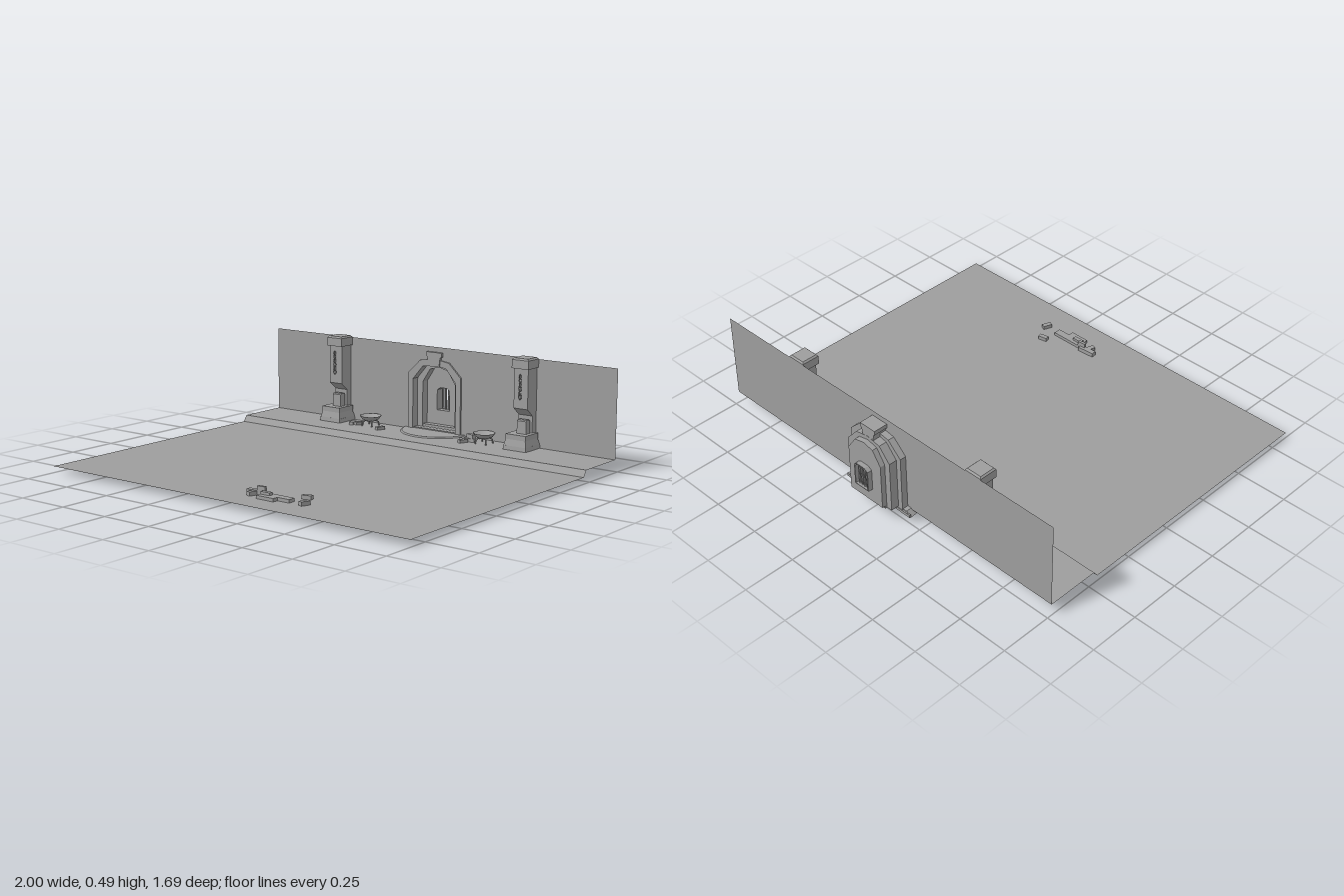
import * as THREE from 'three';

const stone = new THREE.MeshStandardMaterial({ color: 0x9d9d9d, flatShading: true, side: THREE.DoubleSide });
const metal = new THREE.MeshStandardMaterial({ color: 0x9d9d9d, side: THREE.DoubleSide });

function add(parent, name, geo, x = 0, y = 0, z = 0, ry = 0, mat = stone) {
  const m = new THREE.Mesh(geo, mat);
  m.name = name;
  m.position.set(x, y, z);
  m.rotation.y = ry;
  parent.add(m);
  return m;
}
const box = (w, h, d) => new THREE.BoxGeometry(w, h, d);

// square frustum, given its half widths at the top and bottom
function frustum(top, bottom, h) {
  const g = new THREE.CylinderGeometry(top * Math.SQRT2, bottom * Math.SQRT2, h, 4);
  return g.rotateY(Math.PI / 4);
}

function polygon(points, Type = THREE.Shape) {
  return new Type(points.map(([x, y]) => new THREE.Vector2(x, y)));
}
const extrude = (shape, depth) => new THREE.ExtrudeGeometry(shape, { depth, bevelEnabled: false });

// side profile in (z, y) given a width along x
const slab = (points, width) => extrude(polygon(points), width).translate(0, 0, -width / 2).rotateY(-Math.PI / 2);

// faceted arch outline: half width, foot and crown heights
function archPoints(w, foot, crown) {
  return [[-w, foot], [w, foot], [w, crown - 0.08], [w * 0.55, crown - 0.013],
    [0, crown], [-w * 0.55, crown - 0.013], [-w, crown - 0.08]];
}

// floor and step swept across the width, and a wall with a doorway
function buildRoom(root) {
  const profile = [[0.847, 0.03], [-0.45, 0.03], [-0.47, 0.06], [-0.727, 0.06]];
  const names = ['lowerFloor', 'stepRiser', 'upperFloor'];
  names.forEach((name, i) => {
    const [z0, y0] = profile[i], [z1, y1] = profile[i + 1];
    const g = new THREE.PlaneGeometry(2, Math.hypot(z1 - z0, y1 - y0));
    g.rotateX(-Math.PI / 2 + Math.atan2(y1 - y0, z0 - z1));
    add(root, name, g, 0, (y0 + y1) / 2, (z0 + z1) / 2);
  });
  const wall = polygon([[-1, 0.06], [1, 0.06], [1, 0.48], [-1, 0.48]]);
  wall.holes.push(polygon(archPoints(0.14, 0.061, 0.41), THREE.Path));
  add(root, 'backWall', new THREE.ShapeGeometry(wall), 0, 0, -0.727);
}

// recessed doorway of nested arches with a barred window
function buildDoorway(root) {
  const door = new THREE.Group();
  door.name = 'doorway';
  root.add(door);
  const layers = [
    { w: 0.155, hole: 0.127, foot: 0.06, crown: 0.422, z: -0.758, d: 0.04 },
    { w: 0.13, hole: 0.096, foot: 0.068, crown: 0.405, z: -0.798, d: 0.04 },
  ];
  layers.forEach((l, i) => {
    const s = polygon(archPoints(l.w, l.foot, l.crown));
    s.holes.push(polygon(archPoints(l.hole, l.foot + 0.004, l.crown - 0.03), THREE.Path));
    add(door, i ? 'innerArch' : 'outerArch', extrude(s, l.d), 0, 0, l.z);
  });

  const panel = polygon(archPoints(0.1, 0.08, 0.387));
  const opening = [[-0.037, 0.155], [0.037, 0.155], [0.037, 0.255], [0.02, 0.267], [-0.02, 0.267], [-0.037, 0.255]];
  panel.holes.push(polygon(opening, THREE.Path));
  add(door, 'doorPanel', extrude(panel, 0.025), 0, 0, -0.823);

  const frame = polygon(opening.map(([x, y]) => [x * 1.15, 0.211 + (y - 0.211) * 1.06]));
  frame.holes.push(polygon(opening, THREE.Path));
  add(door, 'windowFrame', extrude(frame, 0.025), 0, 0, -0.847);
  for (let i = 0; i < 4; i++) {
    add(door, 'windowBar', new THREE.CylinderGeometry(0.005, 0.005, 0.112, 6), -0.024 + i * 0.016, 0.211, -0.833);
  }

  const key = polygon([[-0.031, 0.385], [0.031, 0.385], [0.037, 0.43], [0.045, 0.435], [0.045, 0.455], [-0.045, 0.455], [-0.045, 0.435], [-0.037, 0.43]]);
  add(door, 'keystone', extrude(key, 0.085), 0, 0, -0.797);

  // half-round threshold with a sloped rim
  add(door, 'threshold', new THREE.CylinderGeometry(0.178, 0.202, 0.023, 24, 1, false, -Math.PI / 2, Math.PI), 0, 0.0545, -0.756);
  add(door, 'thresholdBack', box(0.4, 0.014, 0.008), 0, 0.051, -0.756);
  add(door, 'doorSill', box(0.25, 0.01, 0.04), 0, 0.066, -0.745);
  add(door, 'innerSill', box(0.2, 0.018, 0.045), 0, 0.075, -0.785);
}

// broken pillar with a leftover stub and a hanging chain
function buildPillar(root, x) {
  const p = new THREE.Group();
  p.name = 'pillar';
  p.position.x = x;
  root.add(p);
  const z = -0.663;
  add(p, 'plinth', frustum(0.061, 0.063, 0.02), 0, 0.071, z);
  add(p, 'plinthSlope', frustum(0.053, 0.061, 0.032), 0, 0.096, z);
  add(p, 'plinthCap', box(0.11, 0.024, 0.11), 0, 0.123, z);

  add(p, 'brokenShaft', slab([[-0.725, 0.134], [-0.692, 0.134], [-0.692, 0.216], [-0.648, 0.252], [-0.648, 0.445], [-0.725, 0.445]], 0.076));
  add(p, 'shaftStub', slab([[-0.682, 0.134], [-0.646, 0.134], [-0.646, 0.195], [-0.652, 0.2], [-0.676, 0.2], [-0.682, 0.19]], 0.05), 0.008);

  add(p, 'capital', box(0.09, 0.041, 0.09), 0, 0.4615, -0.681);
  add(p, 'capitalTop', frustum(0.038, 0.045, 0.008), 0, 0.486, -0.681);

  // alternating links, slimmer towards the top
  for (let i = 0; i < 6; i++) {
    const r = 0.006 + i * 0.0004;
    const link = add(p, 'chainLink', new THREE.TorusGeometry(r, 0.0022, 5, 10), 0, 0.405 - i * 0.019, -0.64, i % 2 ? 0 : Math.PI / 2, metal);
    link.scale.y = 1.5;
  }
}

// shallow bowl on four splayed legs
function buildBrazier(root, x) {
  const b = new THREE.Group();
  b.name = 'brazier';
  b.position.set(x, 0, -0.653);
  root.add(b);
  const profile = [[0.001, 0.083], [0.025, 0.086], [0.042, 0.095], [0.054, 0.112], [0.051, 0.112], [0.04, 0.101], [0.024, 0.094], [0.001, 0.092]];
  add(b, 'bowl', new THREE.LatheGeometry(profile.map(([r, y]) => new THREE.Vector2(r, y)), 24), 0, 0, 0, 0, metal);
  for (let i = 0; i < 4; i++) {
    const a = Math.PI / 4 + i * Math.PI / 2;
    const path = new THREE.CatmullRomCurve3([[0.022, 0.088], [0.036, 0.082], [0.043, 0.06]].map(
      ([r, y]) => new THREE.Vector3(r * Math.cos(a), y, r * Math.sin(a))));
    add(b, 'leg', new THREE.TubeGeometry(path, 4, 0.004, 5), 0, 0, 0, 0, metal);
  }
}

// scattered blocks: [x, bottom, z, width, height, depth, turn]
function buildRubble(root) {
  const blocks = [
    [0.195, 0, 0.685, 0.158, 0.045, 0.036, 0],
    [0.163, 0, 0.715, 0.095, 0.045, 0.03, 0],
    [0.063, 0.03, 0.669, 0.085, 0.02, 0.025, 0.08],
    [0.063, 0.03, 0.692, 0.022, 0.018, 0.045, -0.3],
    [0.143, 0.045, 0.694, 0.05, 0.012, 0.02, 0],
    [0.1, 0.045, 0.674, 0.04, 0.026, 0.014, 0.1],
    [0.29, 0.03, 0.603, 0.045, 0.018, 0.022, 0.2],
    [0.345, 0.03, 0.688, 0.022, 0.018, 0.045, -0.35],
    [-0.43, 0.058, -0.627, 0.022, 0.017, 0.045, 0.25],
    [-0.4, 0.058, -0.637, 0.022, 0.017, 0.04, -0.4],
    [-0.245, 0.058, -0.607, 0.022, 0.017, 0.045, -0.35],
    [0.25, 0.058, -0.647, 0.08, 0.018, 0.024, 0.05],
    [0.245, 0.058, -0.609, 0.022, 0.017, 0.045, -0.4],
    [0.265, 0.076, -0.652, 0.045, 0.02, 0.02, -0.3],
  ];
  for (const [x, y, z, w, h, d, turn] of blocks) {
    add(root, 'rubbleBlock', box(w, h, d), x, y + h / 2, z, turn);
  }
}

export function createModel() {
  const root = new THREE.Group();
  root.name = 'courtyardGate';
  buildRoom(root);
  buildDoorway(root);
  for (const x of [-0.555, 0.54]) buildPillar(root, x);
  for (const x of [-0.338, 0.338]) buildBrazier(root, x);
  buildRubble(root);
  return root;
}
